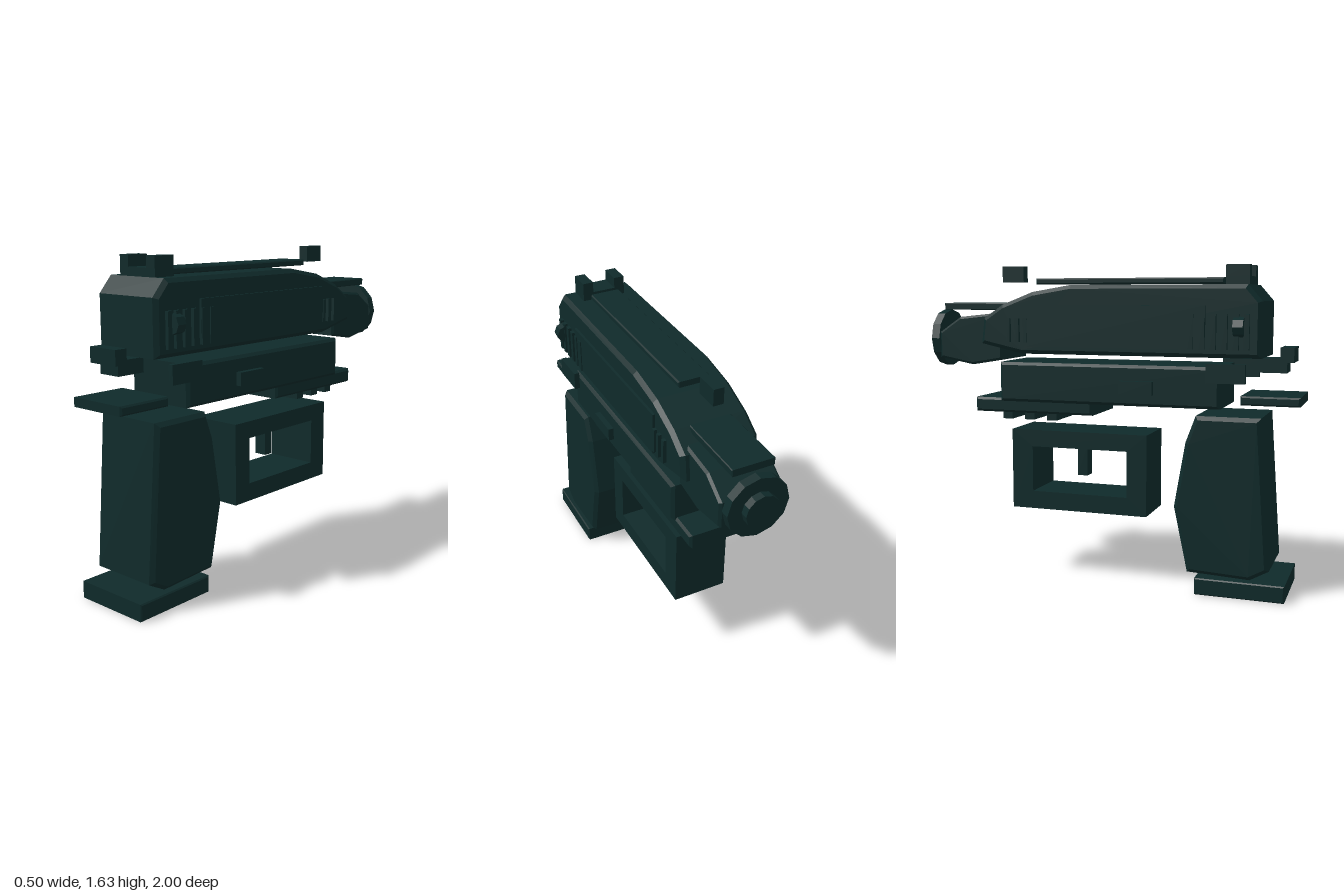
import * as THREE from 'three';

export function createModel() {
  const model = new THREE.Group();
  const dark = new THREE.MeshStandardMaterial({ color: 0x0f2a2a });
  dark.name = 'dark teal';

  const add = (name, geo) => {
    const mesh = new THREE.Mesh(geo, dark);
    mesh.name = name;
    model.add(mesh);
    return mesh;
  };

  // Side profile of [z, y] points, extruded across x with a chamfered edge
  const slab = (name, pts, halfWidth, bevel = 0.015, hole) => {
    const shape = new THREE.Shape(pts.map(p => new THREE.Vector2(...p)));
    if (hole) shape.holes.push(new THREE.Path(hole.map(p => new THREE.Vector2(...p))));
    const depth = 2 * (halfWidth - bevel);
    const geo = new THREE.ExtrudeGeometry(shape, {
      depth, bevelEnabled: bevel > 0, bevelSize: bevel, bevelThickness: bevel,
      bevelOffset: -bevel, bevelSegments: 1,
    });
    geo.translate(0, 0, -depth / 2);
    geo.rotateY(-Math.PI / 2);
    return add(name, geo);
  };
  const rect = (z0, z1, y0, y1) => [[z0, y0], [z1, y0], [z1, y1], [z0, y1]];

  // Plain box from its limits
  const box = (name, x0, x1, y0, y1, z0, z1) => {
    const geo = new THREE.BoxGeometry(x1 - x0, y1 - y0, z1 - z0);
    geo.translate((x0 + x1) / 2, (y0 + y1) / 2, (z0 + z1) / 2);
    return add(name, geo);
  };
  const pair = (name, x0, x1, ...limits) => {
    box(name + 'Left', x0, x1, ...limits);
    box(name + 'Right', -x1, -x0, ...limits);
  };

  // Upper slide
  slab('slide', [[-0.42, 1.18], [0.815, 1.18], [0.815, 1.45], [0.745, 1.53],
    [-0.15, 1.53], [-0.36, 1.495], [-0.53, 1.43], [-0.635, 1.36], [-0.65, 1.23]], 0.195, 0.02);
  pair('slidePanel', 0.185, 0.208, 1.22, 1.43, -0.38, 0.545);
  for (const z of [0.745, 0.695, 0.64, 0.585, 0.53, 0.475])
    pair('rearGroove', 0.185, 0.213, 1.22, 1.39, z - 0.014, z + 0.014);
  for (const z of [-0.39, -0.435, -0.485])
    pair('frontGroove', 0.185, 0.212, 1.24, 1.36, z - 0.01, z + 0.01);
  for (const s of [1, -1]) {
    const knob = add('sideKnob', new THREE.CylinderGeometry(0.048, 0.048, 0.05, 8).toNonIndexed());
    knob.geometry.computeVertexNormals();
    knob.rotation.x = Math.PI / 2;
    knob.position.set(s * 0.204, 1.33, 0.71);
  }

  // Top rib and sights
  slab('topRib', rect(-0.38, 0.61, 1.535, 1.565), 0.08, 0.006);
  box('rearSightBase', -0.115, 0.115, 1.52, 1.57, 0.625, 0.74);
  pair('rearSightEar', 0.06, 0.115, 1.57, 1.625, 0.625, 0.74);
  box('frontSight', -0.026, 0.026, 1.547, 1.63, -0.597, -0.475);

  // Nose block and end discs
  slab('noseBlock', [[-0.72, 1.115], [-0.545, 1.145], [-0.545, 1.39], [-0.79, 1.365],
    [-0.91, 1.285], [-0.91, 1.15]], 0.157, 0.012);
  slab('nosePlate', rect(-0.905, -0.535, 1.402, 1.438), 0.105, 0.004);
  const disc = (name, radius, z0, z1) => {
    const geo = new THREE.CylinderGeometry(radius, radius, z1 - z0, 12).toNonIndexed();
    geo.computeVertexNormals();
    geo.rotateX(Math.PI / 2);
    geo.translate(0, 1.25, (z0 + z1) / 2);
    add(name, geo);
  };
  disc('noseDisc', 0.152, -0.963, -0.918);
  disc('noseCap', 0.083, -1, -0.963);

  // Lower frame with its side plates
  slab('frame', rect(-0.545, 0.62, 0.93, 1.135), 0.19);
  pair('framePlate', 0.185, 0.218, 0.99, 1.057, 0.113, 0.287);
  pair('sideLever', 0.193, 0.221, 1.06, 1.153, 0.555, 0.745);

  // Under rail
  slab('underRail', rect(-0.695, -0.04, 0.87, 0.945), 0.173, 0.012);
  for (const z of [-0.273, -0.398, -0.523])
    box('railTooth', -0.145, 0.145, 0.833, 0.875, z - 0.027, z + 0.027);

  // Rear pieces
  box('rearLever', -0.06, 0.06, 1.105, 1.175, 0.77, 0.92);
  box('rearSpur', -0.085, 0.085, 1.157, 1.23, 0.89, 0.955);
  slab('tailPlate', rect(0.715, 1, 0.953, 0.998), 0.163, 0.008);

  // Guard and trigger
  slab('guard', rect(-0.5, 0.24, 0.357, 0.778), 0.14, 0,
    [[-0.385, 0.45], [-0.385, 0.69], [0.135, 0.69], [0.135, 0.45]]);
  box('trigger', -0.035, 0.035, 0.53, 0.695, -0.17, -0.115);

  // Grip and base
  slab('grip', [[0.78, 0.092], [0.875, 0.145], [0.82, 0.895], [0.5, 0.895],
    [0.45, 0.76], [0.395, 0.435], [0.465, 0.105]], 0.195, 0.02);
  slab('gripBase', rect(0.51, 0.955, 0, 0.085), 0.208, 0.006);

  return model;
}
